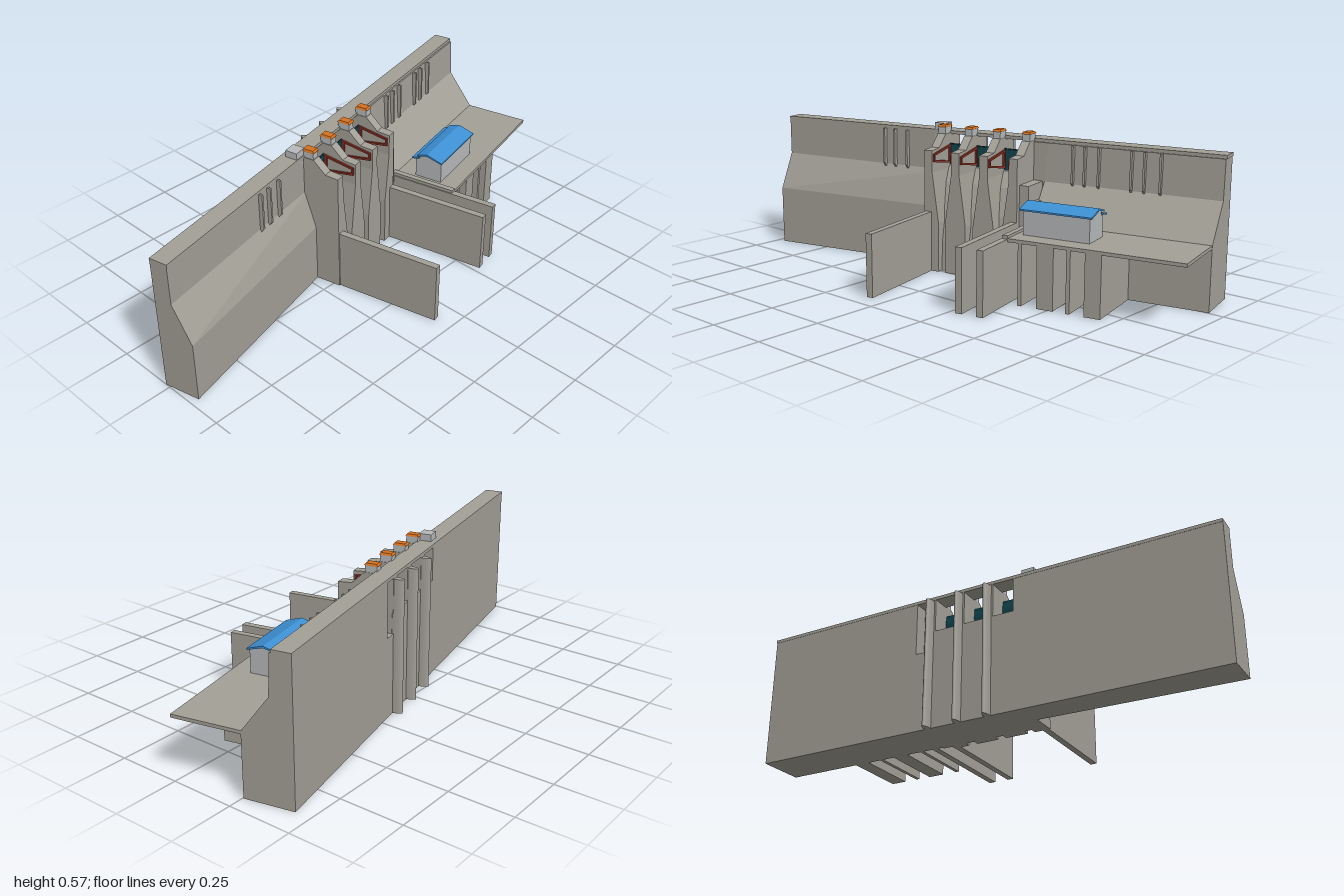
import * as THREE from 'three';

const mat = (name, color, side = THREE.FrontSide) => {
  const m = new THREE.MeshStandardMaterial({ color, side });
  m.name = name;
  return m;
};

export function createModel() {
  const concrete = mat('concrete', 0xa3a097);
  const pale = mat('paleGrey', 0xb6b9ba);
  const blue = mat('roofBlue', 0x3d90d4);
  const orange = mat('capOrange', 0xd4711f);
  const teal = mat('gateTeal', 0x10444f, THREE.DoubleSide);
  const red = mat('armRed', 0x8c2f22);

  // x runs along the dam, z downstream; the whole dam is turned at the end
  const dam = new THREE.Group();
  dam.name = 'dam';
  const add = (name, geo, m = concrete) => {
    const mesh = new THREE.Mesh(geo, m);
    mesh.name = name;
    dam.add(mesh);
    return mesh;
  };
  const box = (name, x0, x1, y0, y1, z0, z1, m) => {
    const g = new THREE.BoxGeometry(x1 - x0, y1 - y0, z1 - z0);
    g.translate((x0 + x1) / 2, (y0 + y1) / 2, (z0 + z1) / 2);
    return add(name, g, m);
  };
  // Extrudes a [z, y] outline along x from x0 to x1
  const section = (x0, x1, pts, hole) => {
    const s = new THREE.Shape(pts.map(p => new THREE.Vector2(...p)));
    if (hole) s.holes.push(new THREE.Path(hole.map(p => new THREE.Vector2(...p))));
    const g = new THREE.ExtrudeGeometry(s, { depth: x1 - x0, bevelEnabled: false });
    g.rotateY(-Math.PI / 2);
    g.translate(x1, 0, 0);
    return g;
  };

  // Left wing, thinning slightly toward the spillway
  const left = section(-0.972, -0.17, [[-0.235, 0], [-0.092, 0], [-0.092, 0.24],
    [-0.165, 0.385], [-0.165, 0.535], [-0.235, 0.535]]);
  const p = left.attributes.position;
  for (let i = 0; i < p.count; i++) {
    if (p.getX(i) > -0.5 && p.getZ(i) > -0.1) p.setZ(i, -0.118);
  }
  left.computeVertexNormals();
  add('leftWing', left);

  // Right wing
  add('rightWing', section(0.27, 0.972, [[-0.235, 0], [-0.045, 0], [-0.045, 0.245],
    [-0.15, 0.385], [-0.157, 0.535], [-0.235, 0.535]]));

  // Crest road
  box('crestRoad', -0.972, 0.974, 0.535, 0.548, -0.236, -0.163);

  // Ribs below the crest
  const rib = (x, z) => add('crestRib', section(x - 0.004, x + 0.004,
    [[z - 0.02, 0.36], [z + 0.004, 0.375], [z + 0.016, 0.39], [z + 0.016, 0.535], [z - 0.02, 0.535]]));
  [-0.47, -0.42, -0.36].forEach(x => rib(x, -0.165));
  [0.389, 0.438, 0.495, 0.625, 0.675, 0.738].forEach(x => rib(x, -0.155));

  // Spillway chute behind the piers
  add('spillwayChute', section(-0.175, 0.21, [[-0.235, 0], [-0.04, 0], [-0.045, 0.12],
    [-0.07, 0.24], [-0.11, 0.35], [-0.15, 0.41], [-0.18, 0.42], [-0.235, 0.4]]));

  // Piers with flared feet, sloped heads, caps and gate-arm frames
  const piers = [-0.172, -0.05, 0.075, 0.203];
  const w = 0.018;
  piers.forEach((x, i) => {
    const foot = new THREE.BoxGeometry(1, 0.4, 0.215, 1, 2, 1).toNonIndexed();
    const q = foot.attributes.position;
    for (let k = 0; k < q.count; k++) {
      const top = q.getY(k) > 0.1;
      let half = top ? w : 0.046;
      if (i === 0 && q.getX(k) < 0) half = w;
      if (i === 3 && q.getX(k) > 0) half = w;
      q.setX(k, Math.sign(q.getX(k)) * half);
    }
    foot.computeVertexNormals();
    foot.translate(x, 0.2, -0.1225);
    add('pierFoot', foot);
    add('pierHead', section(x - w, x + w, [[-0.235, 0.4], [-0.015, 0.4], [-0.015, 0.488],
      [-0.07, 0.492], [-0.12, 0.54], [-0.235, 0.54]]));
    box('pierPost', x - 0.016, x + 0.016, 0.535, 0.567, -0.17, -0.122, pale);

    const cap = new THREE.CylinderGeometry(0.78, 1, 0.008, 4, 1);
    cap.rotateY(Math.PI / 4);
    cap.scale(0.027, 1, 0.038);
    const capFlat = cap.toNonIndexed();
    capFlat.computeVertexNormals();
    capFlat.translate(x, 0.571, -0.146);
    add('pierCap', capFlat, orange);

    [-1, 1].forEach(s => {
      if ((i === 0 && s < 0) || (i === 3 && s > 0)) return;
      const c = x + s * (w + 0.003);
      add('gateArm', section(c - 0.004, c + 0.004,
        [[-0.15, 0.42], [-0.022, 0.442], [-0.022, 0.474], [-0.15, 0.495]],
        [[-0.14, 0.43], [-0.03, 0.449], [-0.03, 0.467], [-0.14, 0.485]]), red);
    });

    // Rounded upstream nose
    if (i > 0) {
      const nose = new THREE.CylinderGeometry(0.013, 0.013, 0.53, 16);
      nose.scale(1, 1, 2.8);
      nose.translate(x + 0.002, 0.265, -0.235);
      add('pierNose', nose);
    }
  });

  // Curved gates between the piers
  for (let i = 0; i < 3; i++) {
    const a = piers[i] + w, b = piers[i + 1] - w;
    const gate = new THREE.CylinderGeometry(0.125, 0.125, b - a, 12, 1, true, Math.PI - 0.32, 0.7);
    gate.rotateZ(Math.PI / 2);
    // turn the arc so that it faces upstream
    gate.translate((a + b) / 2, 0.46, -0.035);
    add('gate', gate, teal);
    box('gateBeam', a, b, 0.425, 0.495, -0.158, -0.15, teal);
  }

  // Infill between the last pier and the right wing
  box('recessBase', 0.2, 0.28, 0, 0.32, -0.235, -0.045);
  box('recessWall', 0.2, 0.28, 0.32, 0.535, -0.18, -0.155);
  box('abutment', 0.215, 0.26, 0, 0.385, -0.16, -0.035);

  // Control cabin beside the first pier
  box('controlCabin', -0.232, -0.18, 0.515, 0.575, -0.215, -0.165, pale);

  // Training walls
  [-0.172, 0.207, 0.292].forEach(x => box('trainingWall', x - 0.013, x + 0.013, 0, 0.243, -0.1, 0.402));

  // Powerhouse platform, its curb and the supports below
  box('platform', 0.295, 0.971, 0.233, 0.246, -0.06, 0.22);
  box('platformCurb', 0.283, 0.305, 0.24, 0.256, -0.06, 0.22);
  [[0.345, 0.36], [0.42, 0.485], [0.535, 0.55], [0.605, 0.667]].forEach(([a, b]) =>
    box('platformSupport', a, b, 0, 0.235, -0.06, 0.217));

  // Powerhouse with a stepped roof
  add('powerhouse', section(0.328, 0.59, [[0.03, 0.245], [0.145, 0.245], [0.145, 0.336],
    [0.085, 0.354], [0.045, 0.345], [0.045, 0.328], [0.03, 0.328]]), pale);
  add('powerhouseRoof', section(0.316, 0.6, [[0.152, 0.336], [0.152, 0.342], [0.085, 0.363],
    [0.042, 0.35], [0.042, 0.344], [0.085, 0.355]]), blue);
  add('rearRoof', section(0.316, 0.6, [[0.048, 0.334], [0.048, 0.34], [0.018, 0.334], [0.018, 0.328]]), blue);

  dam.rotation.y = 0.2175;
  const model = new THREE.Group();
  model.name = 'model';
  model.add(dam);
  return model;
}
